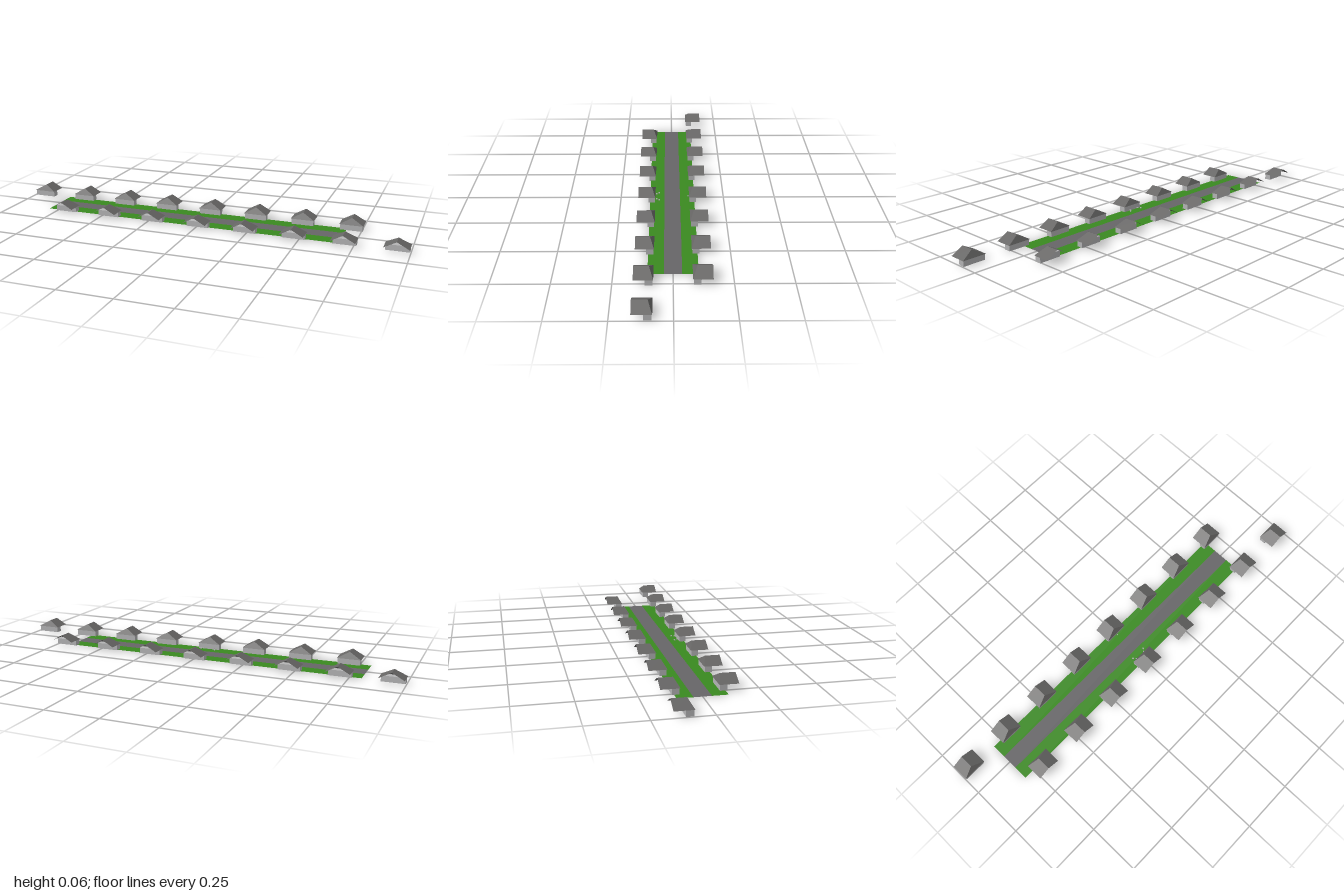
import * as THREE from 'three';

const paint = (name, color, side = THREE.FrontSide) => {
  const m = new THREE.MeshStandardMaterial({ color, side });
  m.name = name;
  return m;
};

export function createModel() {
  const grass = paint('grass green', 0x3a8a20, THREE.DoubleSide);
  const asphalt = paint('asphalt grey', 0x666567, THREE.DoubleSide);
  const shingle = paint('roof grey', 0x676665, THREE.DoubleSide);
  const plaster = paint('wall light grey', 0xb4b4b5);
  const model = new THREE.Group();
  model.name = 'street';

  const add = (parent, name, geometry, material, x = 0, y = 0, z = 0) => {
    const mesh = new THREE.Mesh(geometry, material);
    mesh.name = name;
    mesh.position.set(x, y, z);
    parent.add(mesh);
    return mesh;
  };

  // Flat ground strips: road between two lawns
  const strip = (name, z0, z1, material) => add(model, name,
    new THREE.PlaneGeometry(1.482, z1 - z0).rotateX(-Math.PI / 2), material,
    -0.062, 0.0005, (z0 + z1) / 2);
  strip('backLawn', -0.107, -0.038, grass);
  strip('road', -0.038, 0.038, asphalt);
  strip('frontLawn', 0.038, 0.107, grass);

  // Open roof shell: ridge runs away from the street, hipped at the street end
  const w = 0.057, eave = 0.027, top = 0.058, back = -0.164, street = -0.081;
  const A = [-w, eave, back], B = [w, eave, back], C = [w, eave, street];
  const D = [-w, eave, street], R = [0, top, back], S = [0, top, -0.099];
  const roofGeometry = new THREE.BufferGeometry();
  roofGeometry.setAttribute('position', new THREE.Float32BufferAttribute(
    [A, D, S, A, S, R, C, B, R, C, R, S, D, C, S].flat(), 3));
  roofGeometry.computeVertexNormals();
  const wallGeometry = new THREE.BoxGeometry(0.107, eave, 0.031);

  const house = (name, x, turn) => {
    const g = new THREE.Group();
    g.name = name;
    add(g, 'roof', roofGeometry, shingle);
    add(g, 'walls', wallGeometry, plaster, 0, eave / 2, -0.1);
    g.position.x = x;
    g.rotation.y = turn;
    model.add(g);
  };

  // Two facing rows, shifted by one plot
  for (let i = 0; i < 8; i++) {
    house('backHouse', -0.9415 + i * 0.2347, 0);
    house('frontHouse', 0.9415 - i * 0.2347, Math.PI);
  }

  // Tiny garden pieces beside the middle houses
  const block = new THREE.BoxGeometry(0.006, 0.004, 0.007);
  for (const s of [-1, 1]) {
    add(model, 'gardenBlock', block, plaster, s * 0.036, 0.006, 0.063);
    add(model, 'gardenBlock', block, plaster, s * 0.026, 0.006, 0.076);
  }
  add(model, 'gardenPost', new THREE.BoxGeometry(0.004, 0.006, 0.004), plaster, 0, 0.007, -0.077);

  return model;
}
